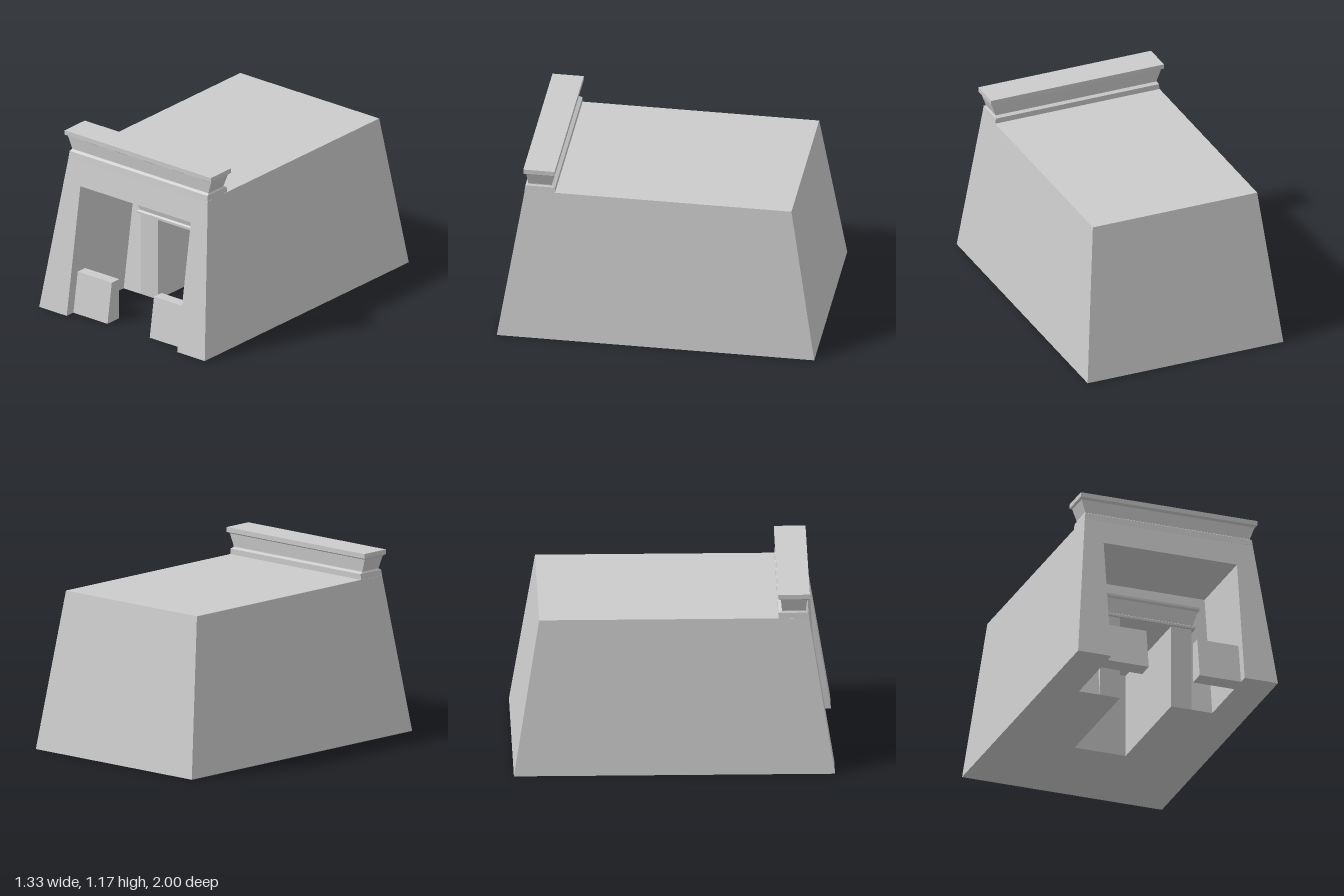
import * as THREE from 'three';

const SLOPE = 0.16;                        // batter of front and back walls
const BASE = { x: 0.667, z: 1 }, ROOF = { x: 0.56, z: 0.84, y: 1 };
const NICHE = { x: 0.445, y: 0.835, z: 0.442 };
const DOOR = { x: 0.17, y: 0.55, z: -0.342 };

const facadeZ = (y) => BASE.z - SLOPE * y;
const nicheZ = (y) => NICHE.z - SLOPE * y;

const material = new THREE.MeshStandardMaterial({ color: 0xcccccc, flatShading: true, side: THREE.DoubleSide });

function addMesh(parent, name, geometry) {
  const mesh = new THREE.Mesh(geometry, material);
  mesh.name = name;
  parent.add(mesh);
  return mesh;
}

// Flat-faced geometry from quads, corners counter-clockwise seen from outside
function quads(list) {
  const points = list.flatMap(([a, b, c, d]) => [a, b, c, a, c, d]).flat();
  const g = new THREE.BufferGeometry();
  g.setAttribute('position', new THREE.Float32BufferAttribute(points, 3));
  g.computeVertexNormals();
  return g;
}

// Stack of rectangles [y, x0, x1, zBack, zFront] joined into a closed solid
function rectLoft(levels) {
  const rings = levels.map(([y, x0, x1, zb, zf]) => [[x0, y, zf], [x1, y, zf], [x1, y, zb], [x0, y, zb]]);
  const faces = [[...rings[0]].reverse(), rings[rings.length - 1]];
  for (let i = 0; i + 1 < rings.length; i++) {
    for (let k = 0; k < 4; k++) {
      const n = (k + 1) % 4;
      faces.push([rings[i][k], rings[i][n], rings[i + 1][n], rings[i + 1][k]]);
    }
  }
  return quads(faces);
}

// Flat wall from an outline, leaned so that z follows a rule of y
function leaningWall(outline, zAt) {
  const g = new THREE.ShapeGeometry(new THREE.Shape(outline.map(([x, y]) => new THREE.Vector2(x, y))));
  const p = g.attributes.position;
  for (let i = 0; i < p.count; i++) p.setZ(i, zAt(p.getY(i)));
  g.computeVertexNormals();
  return g;
}

// Wall outline with a doorway cut up from the ground
const archway = (baseX, topX, topY, doorX, doorY) => [
  [-baseX, 0], [-doorX, 0], [-doorX, doorY], [doorX, doorY],
  [doorX, 0], [baseX, 0], [topX, topY], [-topX, topY],
];

// Two side walls and a ceiling of a recess between two depth rules
function recess(x, top, zFront, zBack) {
  const f0 = zFront(0), f1 = zFront(top), b0 = zBack(0), b1 = zBack(top);
  return [
    [[-x, 0, f0], [-x, 0, b0], [-x, top, b1], [-x, top, f1]],
    [[x, 0, b0], [x, 0, f0], [x, top, f1], [x, top, b1]],
    [[-x, top, f1], [-x, top, b1], [x, top, b1], [x, top, f1]],
  ];
}

export function createModel() {
  const model = new THREE.Group();
  model.name = 'temple';

  // Battered outer shell: sides, back and roof
  const b = BASE, r = ROOF, body = new THREE.Group();
  body.name = 'body';
  model.add(body);
  addMesh(body, 'outerWalls', quads([
    [[b.x, 0, b.z], [b.x, 0, -b.z], [r.x, r.y, -r.z], [r.x, r.y, r.z]],
    [[-b.x, 0, -b.z], [-b.x, 0, b.z], [-r.x, r.y, r.z], [-r.x, r.y, -r.z]],
    [[b.x, 0, -b.z], [-b.x, 0, -b.z], [-r.x, r.y, -r.z], [r.x, r.y, -r.z]],
  ]));
  addMesh(body, 'roof', quads([
    [[-r.x, r.y, r.z], [r.x, r.y, r.z], [r.x, r.y, -r.z], [-r.x, r.y, -r.z]],
  ]));
  addMesh(body, 'facade', leaningWall(archway(b.x, r.x, r.y, NICHE.x, NICHE.y), facadeZ));

  // Underside, notched by the porch and the inner passage
  const notch = [[b.x, b.z], [NICHE.x, b.z], [NICHE.x, NICHE.z], [DOOR.x, NICHE.z], [DOOR.x, DOOR.z]];
  const plan = [[-b.x, -b.z], [b.x, -b.z], ...notch, ...notch.map(([x, z]) => [-x, z]).reverse()];
  const underside = new THREE.ShapeGeometry(new THREE.Shape(plan.map(([x, z]) => new THREE.Vector2(x, z))));
  underside.rotateX(Math.PI / 2);
  addMesh(body, 'underside', underside);

  // Porch recess and the passage behind it
  addMesh(body, 'porchWalls', quads(recess(NICHE.x, NICHE.y, facadeZ, nicheZ)));
  addMesh(body, 'porchBackWall',
    leaningWall(archway(NICHE.x, NICHE.x, NICHE.y, DOOR.x, DOOR.y), nicheZ));
  addMesh(body, 'passageWalls', quads([
    ...recess(DOOR.x, DOOR.y, nicheZ, () => DOOR.z),
    [[-DOOR.x, 0, DOOR.z], [DOOR.x, 0, DOOR.z], [DOOR.x, DOOR.y, DOOR.z], [-DOOR.x, DOOR.y, DOOR.z]],
  ]));

  // Main cornice: band, flared cove and slab
  const cornice = [
    [0.995, 0.56, 0.65, 0.842], [1.035, 0.556, 0.65, 0.837], [1.045, 0.55, 0.672, 0.82],
    [1.05, 0.55, 0.672, 0.82], [1.128, 0.577, 0.665, 0.828],
    [1.138, 0.589, 0.648, 0.845], [1.168, 0.589, 0.648, 0.845],
  ];
  addMesh(model, 'mainCornice', rectLoft(cornice.map(([y, x, zb, zf]) => [y, -x, x, zb, zf])));

  // Inner doorway: upright jambs under a smaller cornice
  const portal = new THREE.Group();
  portal.name = 'innerDoorway';
  model.add(portal);
  const lintel = [
    [0.55, 0.326, 0.46], [0.565, 0.326, 0.46], [0.573, 0.312, 0.447],
    [0.665, 0.335, 0.468], [0.676, 0.348, 0.48], [0.69, 0.348, 0.48],
  ];
  addMesh(portal, 'doorCornice', rectLoft(lintel.map(([y, x, zf]) => [y, -x, x, 0.3, zf])));

  for (const [side, s] of [['left', 1], ['right', -1]]) {
    const [j0, j1] = [DOOR.x * s, 0.306 * s].sort((p, q) => p - q);
    addMesh(portal, side + 'Jamb', rectLoft([0, DOOR.y].map((y) => [y, j0, j1, 0.3, NICHE.z])));

    // Low screen wall closing each side of the porch
    const [w0, w1] = [DOOR.x * s, NICHE.x * s].sort((p, q) => p - q);
    addMesh(model, side + 'ScreenWall',
      rectLoft([0, 0.265].map((y) => [y, w0, w1, 0.82, 0.935 - SLOPE * y])));
  }
  return model;
}
